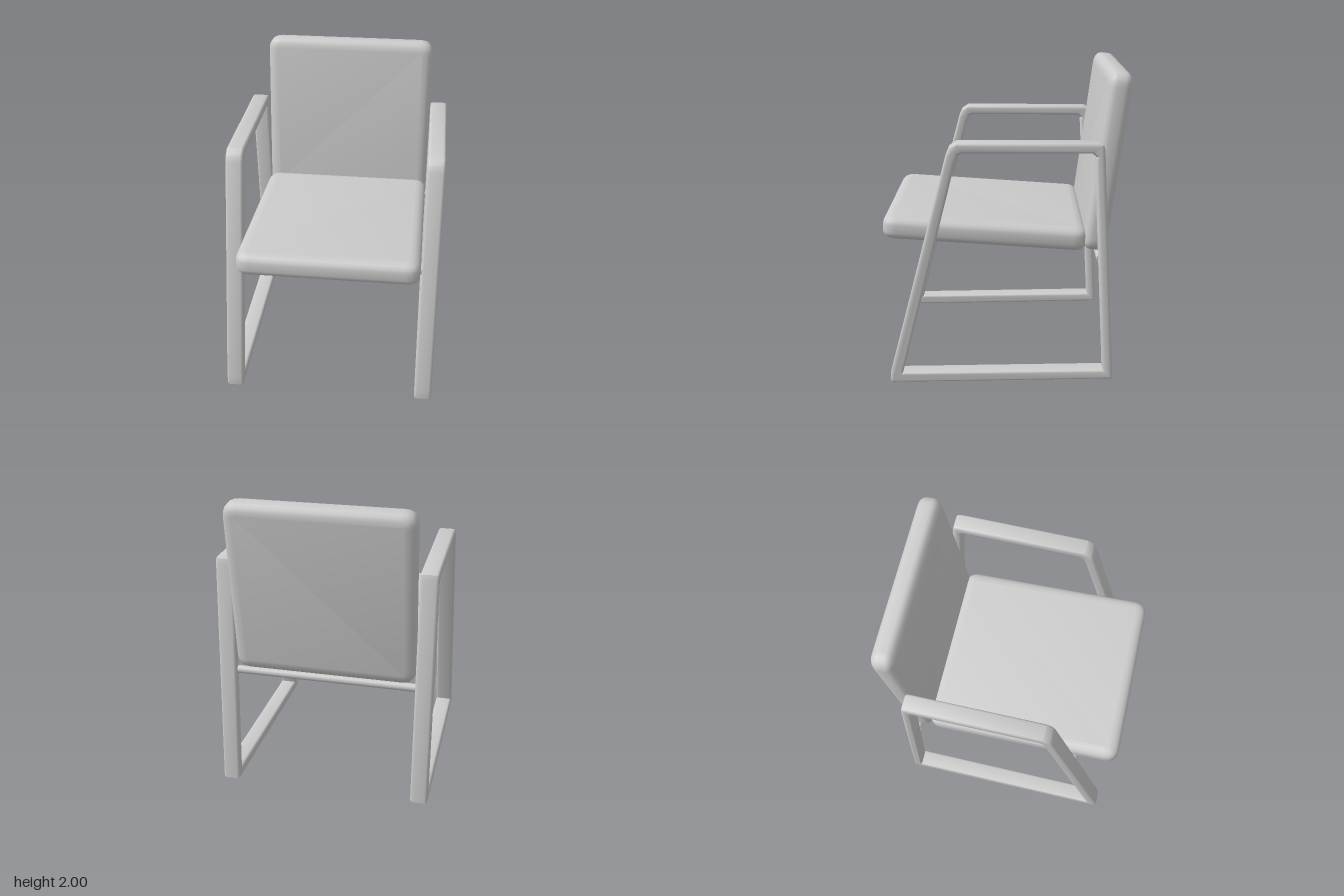
import * as THREE from 'three';
import { toCreasedNormals } from 'three/addons/utils/BufferGeometryUtils.js';

const material = new THREE.MeshStandardMaterial({ color: 0xcccccc });

function addMesh(parent, name, geometry) {
  const mesh = new THREE.Mesh(geometry, material);
  mesh.name = name;
  parent.add(mesh);
  return mesh;
}

// Padded slab: rounded outline w by l in the xy plane, thickness t along z
function cushionGeometry(w, l, t) {
  const r = 0.09, x = w / 2, y = l / 2;
  const shape = new THREE.Shape();
  shape.moveTo(-x + r, -y);
  shape.lineTo(x - r, -y);
  shape.quadraticCurveTo(x, -y, x, -y + r);
  shape.lineTo(x, y - r);
  shape.quadraticCurveTo(x, y, x - r, y);
  shape.lineTo(-x + r, y);
  shape.quadraticCurveTo(-x, y, -x, y - r);
  shape.lineTo(-x, -y + r);
  shape.quadraticCurveTo(-x, -y, -x + r, -y);
  const bevel = 0.05;
  const geometry = new THREE.ExtrudeGeometry(shape, {
    depth: t - 2 * bevel, curveSegments: 5,
    bevelThickness: bevel, bevelSize: 0.07, bevelOffset: -0.07, bevelSegments: 4,
  });
  geometry.translate(0, 0, bevel - t / 2);
  return toCreasedNormals(geometry, 0.7);
}

// Closed side loop (z, y): sled foot, two legs and armrest
function sideFrameGeometry() {
  const points = (list) => list.map(([z, y]) => new THREE.Vector2(z, y));
  const shape = new THREE.Shape(points([
    [0.74, 0], [0.74, 0.07], [0.355, 1.52], [0.335, 1.565], [0.29, 1.595],
    [-0.57, 1.595], [-0.595, 1.585], [-0.605, 1.55], [-0.7, 0.035],
  ]));
  shape.holes.push(new THREE.Path(points([
    [0.66, 0.07], [-0.635, 0.1], [-0.55, 1.49], [-0.555, 1.51], [-0.53, 1.53],
    [0.25, 1.53], [0.28, 1.52], [0.3, 1.47],
  ])));
  const width = 0.115, bevel = 0.018;
  const geometry = new THREE.ExtrudeGeometry(shape, {
    depth: width - 2 * bevel,
    bevelThickness: bevel, bevelSize: bevel, bevelOffset: -bevel, bevelSegments: 3,
  });
  geometry.translate(0, 0, bevel - width / 2);
  geometry.rotateY(-Math.PI / 2);
  return toCreasedNormals(geometry, 0.6);
}

export function createModel() {
  const chair = new THREE.Group();
  chair.name = 'armchair';

  // Side frames
  const frame = sideFrameGeometry();
  for (const side of [1, -1]) {
    const name = side > 0 ? 'leftSideFrame' : 'rightSideFrame';
    addMesh(chair, name, frame).position.x = side * 0.641;
  }

  // Crossbars under the seat
  for (const [name, radius, y, z] of [
    ['frontCrossbar', 0.034, 0.885, 0.487],
    ['rearCrossbar', 0.026, 0.83, -0.605],
  ]) {
    const bar = new THREE.CylinderGeometry(radius, radius, 1.2, 16);
    bar.rotateZ(Math.PI / 2);
    addMesh(chair, name, bar).position.set(0, y, z);
  }

  // Seat, raised slightly at the front
  const seat = addMesh(chair, 'seat', cushionGeometry(1.16, 1.305, 0.152));
  seat.position.set(0, 0.975, 0.128);
  seat.rotation.x = -Math.PI / 2 - 0.064;

  // Backrest, leaning backwards
  const back = addMesh(chair, 'backrest', cushionGeometry(1.16, 1.145, 0.152));
  back.position.set(0, 1.43, -0.638);
  back.rotation.x = -0.122;

  return chair;
}
